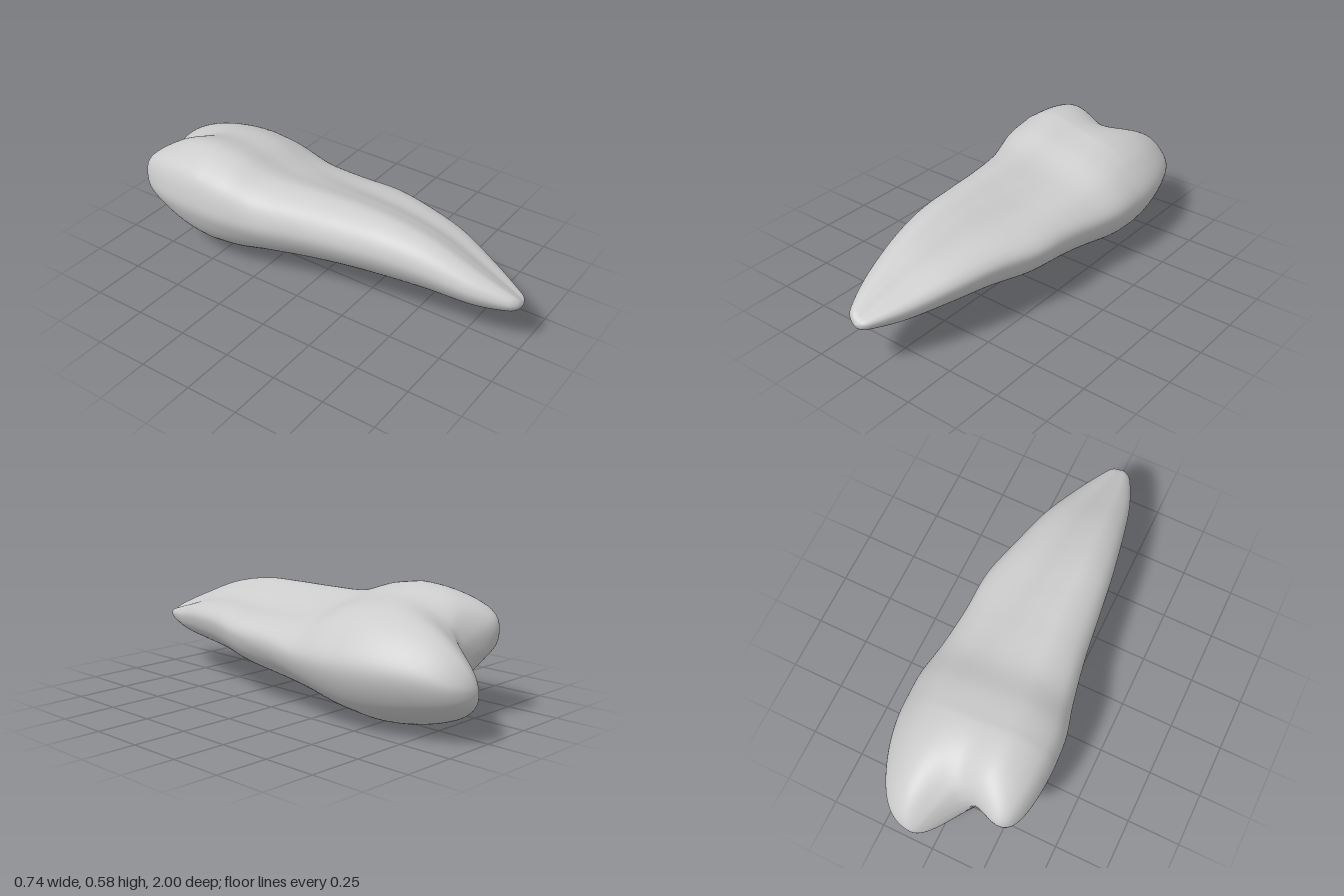
import * as THREE from 'three';
import { mergeVertices } from 'three/addons/utils/BufferGeometryUtils.js';

const V = (x, y, z = 0) => new THREE.Vector3(x, y, z);
const { smoothstep } = THREE.MathUtils;

// Unit cross-sections, clockwise from the -x side: grooved root and plump crown
const outline = pts => new THREE.CatmullRomCurve3(pts.map(p => V(p[0], p[1])), true, 'catmullrom', 0.5);
const rootOutline = outline([[-1, 0.25], [-0.87, 0.75], [-0.5, 1], [-0.1, 0.84], [0.3, 0.58], [0.7, 0.46],
  [0.93, 0.28], [1, 0], [0.86, -0.45], [0.5, -0.83], [0, -1], [-0.45, -0.78], [-0.82, -0.3]]);
const crownOutline = outline([[-1, 0.3], [-0.87, 0.75], [-0.47, 1], [0, 0.88], [0.42, 0.77], [0.77, 0.5],
  [1, 0.03], [0.82, -0.52], [0.45, -0.84], [0.03, -1], [-0.4, -0.83], [-0.76, -0.45], [-0.95, -0.05]]);

// Stations from root tip to crown: z, x min, x max, y min, y max
const stations = [
  [1.0, -0.02, -0.02, 0.255, 0.255],
  [0.985, -0.065, 0.015, 0.228, 0.287],
  [0.94, -0.1, 0.045, 0.208, 0.315],
  [0.8, -0.155, 0.115, 0.18, 0.378],
  [0.6, -0.2, 0.195, 0.168, 0.455],
  [0.4, -0.235, 0.25, 0.15, 0.495],
  [0.2, -0.26, 0.305, 0.122, 0.502],
  [0, -0.285, 0.322, 0.09, 0.502],
  [-0.2, -0.322, 0.345, 0.053, 0.508],
  [-0.36, -0.36, 0.366, 0.018, 0.558],
  [-0.5, -0.37, 0.365, 0, 0.583],
];
const spanX = new THREE.CatmullRomCurve3(stations.map(s => V(s[1], s[2], s[0])), false, 'catmullrom', 0.5);
const spanY = new THREE.CatmullRomCurve3(stations.map(s => V(s[3], s[4], s[0])), false, 'catmullrom', 0.5);

// Depth of the biting end: tall cusp on +x, full short cusp on -x, soft valley between
function cuspDepth(x, y) {
  const u = x - 0.35 * (y - 0.25);
  const short = Math.max(0, -0.1 - u);
  return 0.325 + 0.18 * smoothstep(u, -0.13, 0.1) + 4.6 * short * short;
}

function toothGeometry() {
  const sides = 96, shaft = 80, dome = 40;
  const pos = [], index = [];
  for (let i = 0; i <= shaft + dome; i++) {
    const t = Math.min(i / shaft, 1);
    const phi = Math.max(0, (i - shaft) / dome) * Math.PI / 2;
    const a = spanX.getPoint(t), b = spanY.getPoint(t);
    const crown = smoothstep(-a.z, -0.25, 0.5);
    const shrink = Math.cos(phi), shift = Math.sin(phi) ** 4;
    const cx = (a.x + a.y) / 2 + 0.08 * shift, cy = (b.x + b.y) / 2 - 0.05 * shift;
    for (let j = 0; j < sides; j++) {
      const p = rootOutline.getPoint(j / sides).lerp(crownOutline.getPoint(j / sides), crown);
      const x = cx + p.x * shrink * (a.y - a.x) / 2;
      const y = cy + p.y * shrink * (b.y - b.x) / 2;
      pos.push(x, y, a.z - cuspDepth(x, y) * Math.sin(phi));
    }
  }
  for (let i = 0; i < shaft + dome; i++) {
    for (let j = 0; j < sides; j++) {
      const k = (j + 1) % sides, r = i * sides, n = r + sides;
      index.push(r + j, r + k, n + j, r + k, n + k, n + j);
    }
  }
  let geo = new THREE.BufferGeometry();
  geo.setAttribute('position', new THREE.Float32BufferAttribute(pos, 3));
  geo.setIndex(index);
  geo = mergeVertices(geo, 1e-5);
  geo.computeVertexNormals();
  return geo;
}

export function createModel() {
  const group = new THREE.Group();
  group.name = 'tooth';
  const enamel = new THREE.MeshStandardMaterial({ color: 0xcccccc });
  enamel.name = 'light grey';
  const tooth = new THREE.Mesh(toothGeometry(), enamel);
  tooth.name = 'rootAndCrown';
  group.add(tooth);
  // Centre the model and stand it on the ground
  const box = new THREE.Box3().setFromObject(tooth), c = box.getCenter(V(0, 0));
  tooth.position.set(-c.x, -box.min.y, -c.z);
  return group;
}
